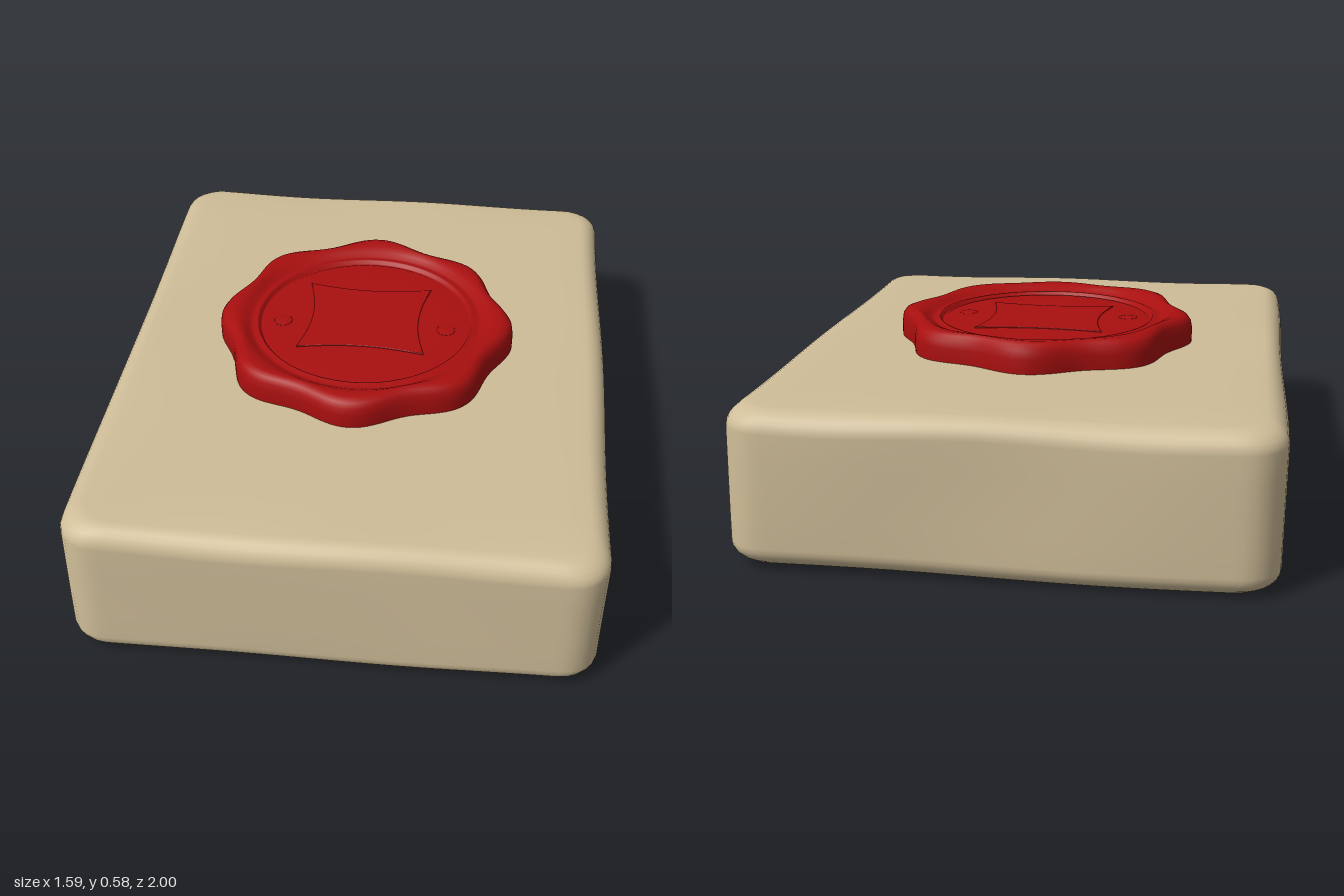
import * as THREE from 'three';
import { mergeVertices } from 'three/addons/utils/BufferGeometryUtils.js';

const HX = 0.79, HZ = 0.995;

// Weld shared points and shade smoothly
function smooth(geo) {
  geo.deleteAttribute('uv');
  geo.deleteAttribute('normal');
  const g = mergeVertices(geo, 1e-5);
  g.computeVertexNormals();
  return g;
}

// Move every vertex by a rule
function warp(geo, rule) {
  const p = geo.attributes.position, v = new THREE.Vector3();
  for (let i = 0; i < p.count; i++) {
    v.fromBufferAttribute(p, i);
    rule(v);
    p.setXYZ(i, v.x, v.y, v.z);
  }
  return geo;
}

// Rounded rectangle outline, evenly divided so that it can be softened
function outline() {
  const r = 0.11, x = HX - r, z = HZ - r, s = new THREE.Shape();
  s.absarc(x, z, r, 0, Math.PI / 2);
  s.absarc(-x, z, r, Math.PI / 2, Math.PI);
  s.absarc(-x, -z, r, Math.PI, Math.PI * 1.5);
  s.absarc(x, -z, r, Math.PI * 1.5, Math.PI * 2);
  s.closePath();
  return s.getSpacedPoints(240).slice(0, 240);
}

// Stone slab: rings run from the middle of the base, up the sides, to the middle of the top
function slabGeometry() {
  const rings = [], e = 0.06;
  for (const k of [1, 0.8, 0.6, 0.4, 0.2, 0.12]) rings.push([k * HX, 0.012]);
  for (let i = 0; i <= 6; i++) {
    const a = i / 6 * Math.PI / 2;
    rings.push([e * (1 - Math.sin(a)), 0.012 + e * (1 - Math.cos(a))]);
  }
  for (const y of [0.16, 0.25, 0.34]) rings.push([0, y]);
  for (let i = 0; i <= 6; i++) {
    const a = i / 6 * Math.PI / 2;
    rings.push([e * (1 - Math.cos(a)), 0.425 + e * Math.sin(a)]);
  }
  for (const k of [0.12, 0.2, 0.4, 0.6, 0.8, 1]) rings.push([k * HX, 0.485]);

  const pts = outline(), n = pts.length, pos = [], idx = [];
  for (const [inset, y] of rings) {
    const sx = (HX - inset) / HX;
    const sz = inset < 0.07 ? (HZ - inset) / HZ : sx;
    for (const p of pts) pos.push(p.x * sx, y, p.y * sz);
  }
  for (let j = 0; j < rings.length - 1; j++) {
    for (let i = 0; i < n; i++) {
      const a = j * n + i, b = j * n + (i + 1) % n, c = a + n, d = b + n;
      idx.push(a, c, b, b, c, d);
    }
  }
  const g = new THREE.BufferGeometry();
  g.setAttribute('position', new THREE.Float32BufferAttribute(pos, 3));
  g.setIndex(idx);

  // Hand-worn unevenness: sagging top edges and gently wavy sides
  warp(g, (v) => {
    const ex = Math.abs(v.x) / HX, ez = Math.abs(v.z) / HZ;
    const up = THREE.MathUtils.smoothstep(v.y, 0.2, 0.48);
    const edge = Math.max(ex, ez) ** 8;
    const wave = Math.sin(v.x * 7 + 1) * Math.cos(v.z * 6);
    const { x, y, z } = v;
    v.y += up * (0.005 - 0.008 * edge + 0.006 * edge * wave);
    v.y += (1 - up) * (0.005 * Math.sin(x * 3.2 - 0.4) - 0.002 * z);
    v.x += 0.004 * ex ** 6 * Math.sin(z * 5 + y * 4);
    v.z += 0.004 * ez ** 6 * Math.sin(x * 6 + y * 5);
  });
  return smooth(g);
}

// Wax seal: turned profile whose outer rim swells into eight lobes
function sealGeometry() {
  const profile = [
    [0.466, 0.47], [0.468, 0.50], [0.468, 0.535], [0.464, 0.56], [0.453, 0.576],
    [0.436, 0.584], [0.415, 0.582], [0.397, 0.573], [0.382, 0.563], [0.372, 0.561],
    [0.358, 0.566], [0.352, 0.565], [0.347, 0.555], [0.342, 0.553], [0.335, 0.557],
    [0.25, 0.557], [0.12, 0.557], [0, 0.557],
  ].map(([r, y]) => new THREE.Vector2(r, y));
  const g = warp(new THREE.LatheGeometry(profile, 160), (v) => {
    const r = Math.hypot(v.x, v.z), a = Math.atan2(v.z, v.x);
    const w = THREE.MathUtils.smoothstep(r, 0.385, 0.455);
    const k = 1 + w * (0.04 * Math.cos(8 * a) + 0.006 * Math.sin(3 * a + 1));
    v.x *= k;
    v.z *= k;
    if (v.y > 0.54) v.y += w * 0.003 * Math.cos(5 * a + 1);
  });
  return smooth(g);
}

// Faint raised panel with hollow sides in the middle of the seal
function panelGeometry() {
  const s = new THREE.Shape(), w = 0.2, h = 0.18;
  s.moveTo(-w, -h);
  s.quadraticCurveTo(0, -h + 0.05, w, -h);
  s.quadraticCurveTo(w - 0.06, 0, w, h);
  s.quadraticCurveTo(0, h - 0.05, -w, h);
  s.quadraticCurveTo(-w + 0.06, 0, -w, -h);
  return new THREE.ExtrudeGeometry(s, {
    depth: 0.002, bevelThickness: 0.002, bevelSize: 0.006, bevelSegments: 2, curveSegments: 10,
  }).rotateX(-Math.PI / 2);
}

export function createModel() {
  const stone = new THREE.MeshStandardMaterial({ color: 0xcfbd98 });
  stone.name = 'sandstone';
  const wax = new THREE.MeshStandardMaterial({ color: 0xa90f0f });
  wax.name = 'red wax';

  const model = new THREE.Group();
  model.name = 'sealedSlab';
  const add = (parent, name, geo, mat, x = 0, y = 0, z = 0) => {
    const m = new THREE.Mesh(geo, mat);
    m.name = name;
    m.position.set(x, y, z);
    parent.add(m);
    return m;
  };

  add(model, 'slab', slabGeometry(), stone);

  const seal = new THREE.Group();
  seal.name = 'waxSeal';
  seal.position.set(-0.004, 0, -0.035);
  model.add(seal);
  add(seal, 'sealBody', sealGeometry(), wax);
  add(seal, 'sealPanel', panelGeometry(), wax, 0, 0.557, -0.01);

  // Small soft bumps either side of the panel
  for (const side of [-1, 1]) {
    const bump = add(seal, 'sealBump', new THREE.SphereGeometry(0.03, 20, 10), wax, side * 0.27, 0.557, 0.03);
    bump.scale.y = 0.12;
  }
  return model;
}
